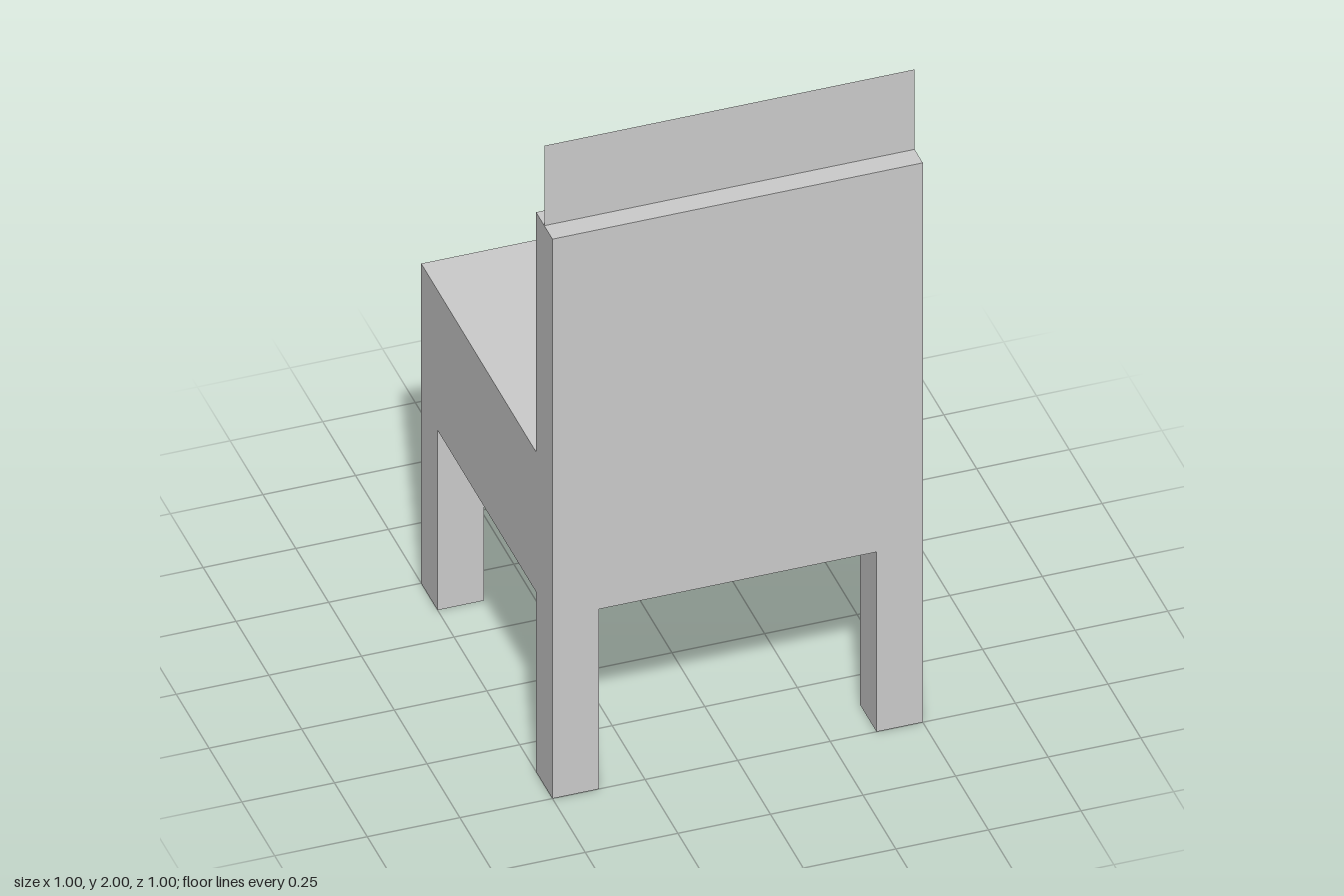
import * as THREE from 'three';

const WIDTH = 1, HALF = WIDTH / 2;
const LEG = 0.125;        // leg side and backrest thickness
const SEAT_BOTTOM = 0.5625, SEAT_TOP = 1, BACK_TOP = 1.75, PANEL_TOP = 2;

export function createModel() {
  const group = new THREE.Group();
  const material = new THREE.MeshStandardMaterial({ color: 0xcccccc, flatShading: true });
  const add = (name, geometry, x, y, z, mat = material) => {
    const mesh = new THREE.Mesh(geometry, mat);
    mesh.name = name;
    mesh.position.set(x, y, z);
    group.add(mesh);
  };

  // Seat block and backrest: one L-shaped side profile (z, y) extruded across x
  const profile = new THREE.Shape([
    [-HALF, SEAT_BOTTOM], [HALF, SEAT_BOTTOM], [HALF, BACK_TOP],
    [HALF - LEG, BACK_TOP], [HALF - LEG, SEAT_TOP], [-HALF, SEAT_TOP],
  ].map(([z, y]) => new THREE.Vector2(z, y)));
  const body = new THREE.ExtrudeGeometry(profile, { depth: WIDTH, bevelEnabled: false });
  body.rotateY(-Math.PI / 2);
  add('seatAndBackrest', body, HALF, 0, 0);

  // Four square legs flush with the corners
  const leg = new THREE.BoxGeometry(LEG, SEAT_BOTTOM, LEG);
  const offset = HALF - LEG / 2;
  for (const [side, x] of [['Left', offset], ['Right', -offset]]) {
    add(`front${side}Leg`, leg, x, SEAT_BOTTOM / 2, offset);
    add(`back${side}Leg`, leg, x, SEAT_BOTTOM / 2, -offset);
  }

  // Paper-thin panel standing along the middle of the backrest's top
  const thin = material.clone();
  thin.side = THREE.DoubleSide;
  const panel = new THREE.PlaneGeometry(WIDTH, PANEL_TOP - BACK_TOP);
  add('topPanel', panel, 0, (PANEL_TOP + BACK_TOP) / 2, offset, thin);

  return group;
}
